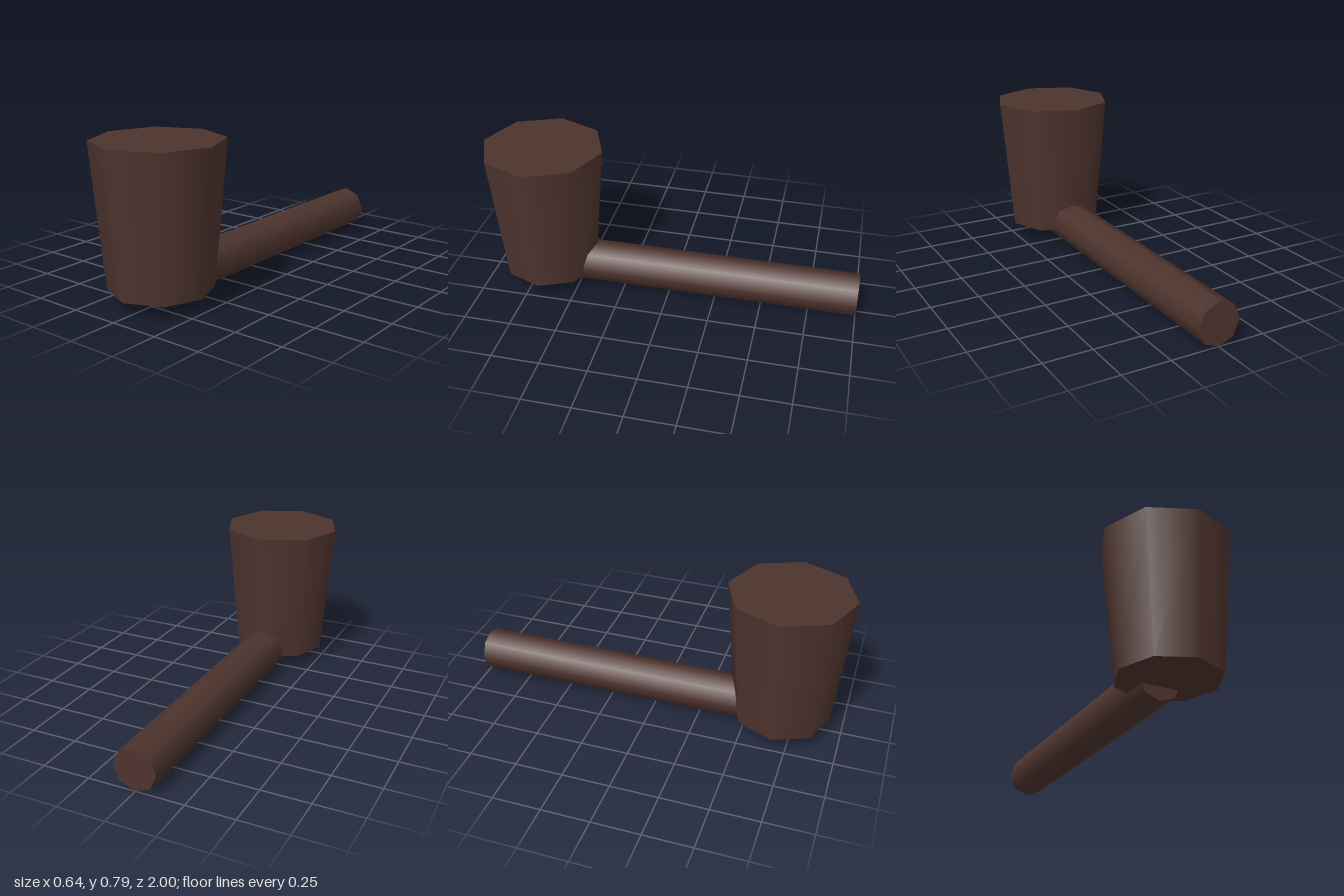
import * as THREE from 'three';

export function createModel() {
  const model = new THREE.Group();
  model.name = 'smokingPipe';

  const darkWood = new THREE.MeshStandardMaterial({ color: 0x4e342e });
  darkWood.name = 'darkWood';

  // Eight-sided tapered bowl at the front
  const bowl = new THREE.Mesh(new THREE.CylinderGeometry(0.32, 0.256, 0.717, 8), darkWood);
  bowl.name = 'bowl';
  bowl.position.set(0, 0.4325, 0.68);

  // Straight stem running from inside the bowl to the back
  const stem = new THREE.Mesh(new THREE.CylinderGeometry(0.112, 0.112, 1.6, 8), darkWood);
  stem.name = 'stem';
  stem.rotation.x = Math.PI / 2;
  stem.position.set(0, 0.112, -0.2);

  model.add(bowl, stem);
  return model;
}
